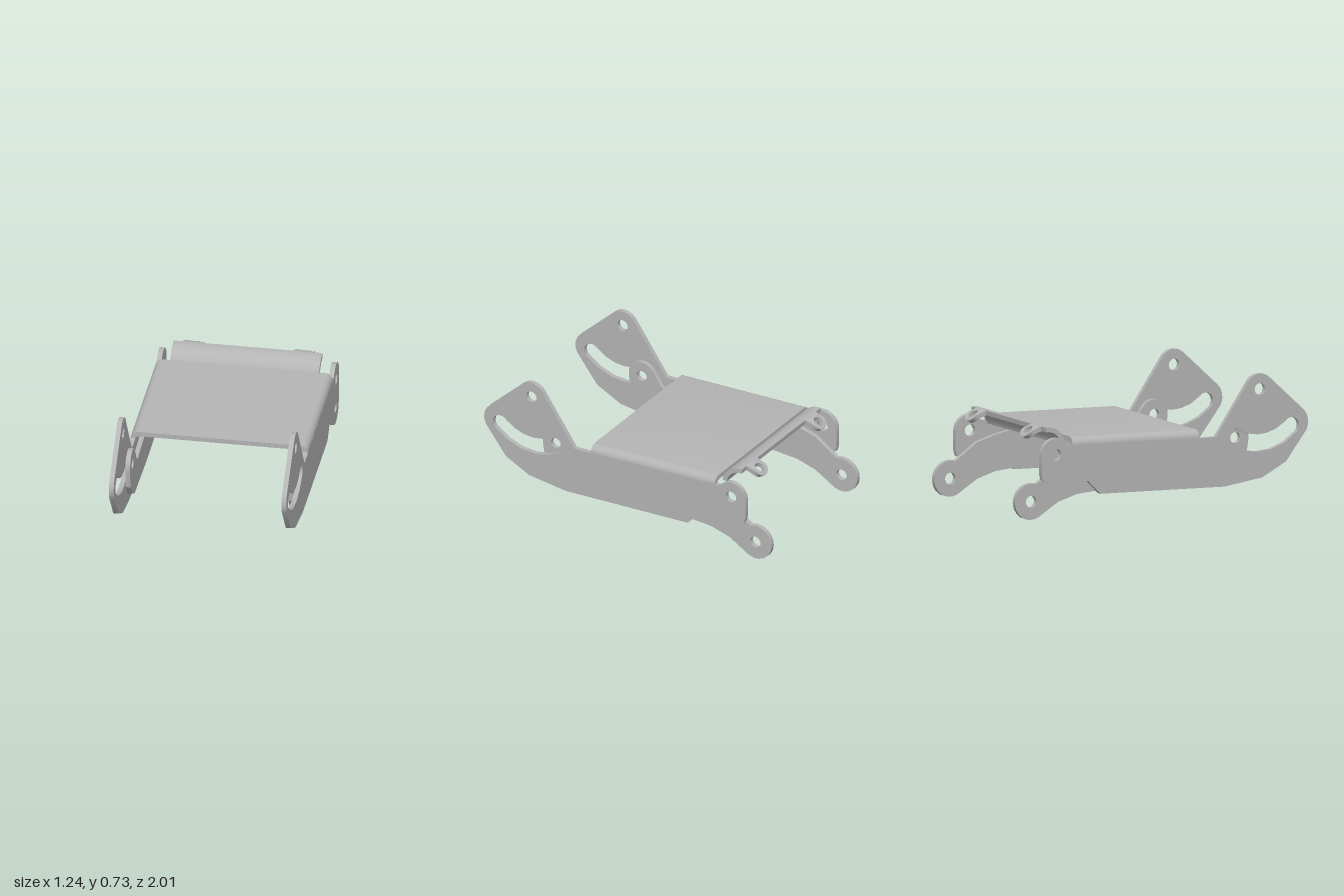
import * as THREE from 'three';
import { toCreasedNormals } from 'three/addons/utils/BufferGeometryUtils.js';

const V = (x, y) => new THREE.Vector2(x, y);
const T = 0.028; // sheet thickness

// points along a circular arc, angles in degrees
function arc(cx, cy, r, a0, a1, n = 8) {
  return Array.from({ length: n + 1 }, (_, i) => {
    const a = THREE.MathUtils.degToRad(a0 + ((a1 - a0) * i) / n);
    return V(cx + r * Math.cos(a), cy + r * Math.sin(a));
  });
}
const pts = (...p) => p.map(([x, y]) => V(x, y));
const hole = (x, y, r) => new THREE.Path(arc(x, y, r, 0, 345, 23));

function extrude(outline, holes, depth) {
  const shape = new THREE.Shape(outline);
  shape.holes.push(...holes);
  return new THREE.ExtrudeGeometry(shape, { depth, bevelEnabled: false });
}

// profile drawn in (z, y), extruded along x from x0 to x0 + depth
function sideExtrude(outline, holes, depth, x0) {
  return extrude(outline, holes, depth).rotateY(-Math.PI / 2).translate(x0 + depth, 0, 0);
}

export function createModel() {
  const steel = new THREE.MeshStandardMaterial({ color: 0xb4b4b4 });
  steel.name = 'plain steel';
  const group = new THREE.Group();
  group.name = 'bracketAssembly';
  const body = new THREE.Group();
  body.name = 'tiltedBody';
  body.rotation.y = -0.132;
  group.add(body);

  const add = (name, geometry) => {
    const mesh = new THREE.Mesh(toCreasedNormals(geometry, 0.5), steel);
    mesh.name = name;
    body.add(mesh);
    return mesh;
  };

  // side bracket: front ear with a curved slot, long web, rounded rear end
  const bracket = [
    ...arc(0.845, 0.43, 0.1, -30, 48, 6),
    ...arc(0.63, 0.64, 0.09, 45, 148),
    ...pts([0.345, 0.387], [0.245, 0.387], [0.235, 0.392], [-0.59, 0.417], [-0.62, 0.42]),
    ...arc(-0.7, 0.368, 0.095, 70, 180),
    ...pts([-0.795, 0.26], [-0.785, 0.225], [-0.745, 0.208], [-0.49, 0.2], [-0.41, 0.12],
      [0.4, 0.097], [0.645, 0.13], [0.8, 0.21]),
  ];
  const slot = new THREE.Path([
    ...arc(0.625, 0.64, 0.36, -123, -47, 5),
    ...arc(0.836, 0.413, 0.05, -30, 120, 6),
    ...arc(0.625, 0.64, 0.26, -50, -120, 5),
    ...arc(0.456, 0.38, 0.05, 70, 220, 6),
  ]);
  const bracketHoles = [hole(0.63, 0.64, 0.034), hole(-0.7, 0.368, 0.034), slot];

  // inner arm: rounded front eye, straight middle, drooping rear eye
  const arm = [
    ...arc(0.485, 0.368, 0.088, -10, 150),
    ...pts([0.36, 0.335], [0.32, 0.31], [0.1, 0.335], [-0.2, 0.355], [-0.42, 0.36],
      [-0.55, 0.335], [-0.67, 0.3]),
    ...arc(-0.845, 0.105, 0.105, 70, 295, 12),
    ...pts([-0.67, 0.09], [-0.55, 0.125], [-0.23, 0.15], [0, 0.137], [0.42, 0.14],
      [0.5, 0.18], [0.555, 0.25]),
  ];
  const armHoles = [hole(0.485, 0.368, 0.032), hole(-0.845, 0.105, 0.034)];

  for (const [side, left] of [['left', true], ['right', false]]) {
    add(side + 'Bracket', sideExtrude(bracket, bracketHoles, T, left ? 0.484 : -0.512));
    add(side + 'Arm', sideExtrude(arm, armHoles, T, left ? 0.455 : -0.455 - T));
  }

  // top plate with bends into both brackets
  const W = 0.512, R = 0.045, r = R - T, H = -0.046;
  const section = [
    V(W, H), ...arc(W - R, -R, R, 0, 90, 6), ...arc(-W + R, -R, R, 90, 180, 6), V(-W, H),
    V(-W + T, H), ...arc(-W + R, -R, r, 180, 90, 6), ...arc(W - R, -R, r, 90, 0, 6), V(W - T, H),
  ];
  const plate = add('topPlate', extrude(section, [], 0.825).translate(0, 0, -0.4125));
  plate.rotation.x = 0.03;
  plate.position.set(0, 0.4475, -0.1775);

  // curled rear lip
  const cz = -0.71, cy = 0.397, ro = 0.118, ri = ro - T;
  add('rearLip', sideExtrude(
    [...arc(cz, cy, ro, 8, 96, 10), ...arc(cz, cy, ri, 96, 8, 10)], [], 0.86, -0.43));

  // two eyelets that follow the curl of the lip
  for (const x of [-0.32, 0.32]) {
    const tab = extrude([V(0.058, 0), ...arc(0, 0.058, 0.056, 0, 180, 14), V(-0.058, 0)],
      [hole(0, 0.058, 0.03)], T);
    const p = tab.attributes.position;
    for (let i = 0; i < p.count; i++) {
      const a = 1.66 + p.getY(i) / ro, rad = ri + p.getZ(i);
      p.setXYZ(i, p.getX(i) + x, cy + rad * Math.sin(a), cz + rad * Math.cos(a));
    }
    tab.computeVertexNormals();
    add(x > 0 ? 'leftEyelet' : 'rightEyelet', tab);
  }
  return group;
}
